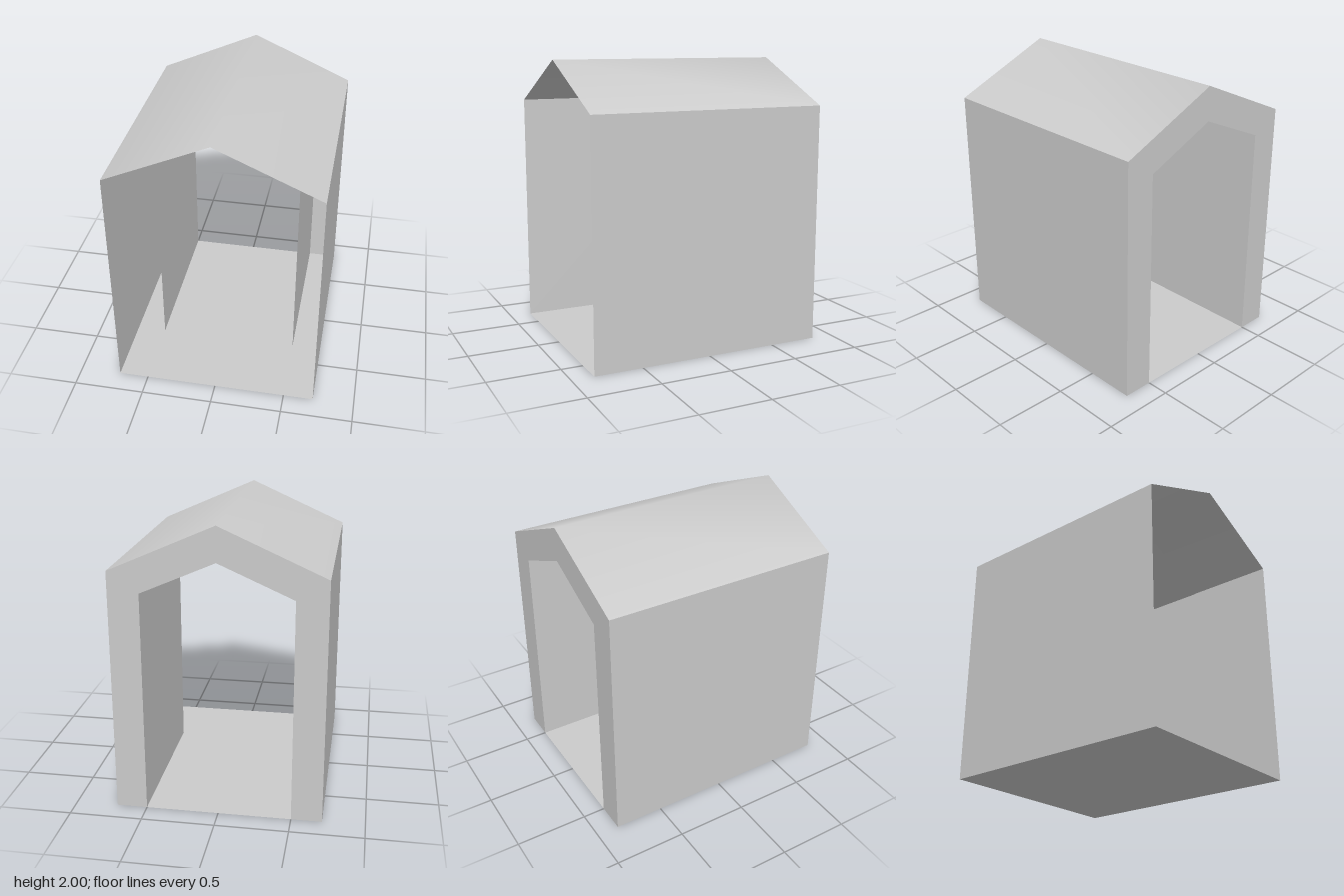
import * as THREE from 'three';

const FRONT = 0.845, BACK = -0.845, LINING_FRONT = 0.34;

// profile points [x, y]: outer shell and inner lining
const outer = [[-0.71, 0], [-0.71, 1.685], [0, 2], [0.71, 1.685], [0.71, 0]];
const inner = [[-0.5, 0], [-0.5, 1.545], [0, 1.765], [0.5, 1.545], [0.5, 0]];

const material = new THREE.MeshStandardMaterial({ color: 0xcccccc, side: THREE.DoubleSide });

function addPart(group, name, geometry) {
  const mesh = new THREE.Mesh(geometry, material);
  mesh.name = name;
  group.add(mesh);
  return mesh;
}

// thin sheet: a profile line swept from zFront to zBack, smooth along its bends
function sheet(points, zFront, zBack) {
  const positions = [], index = [];
  points.forEach(([x, y], i) => {
    positions.push(x, y, zFront, x, y, zBack);
    if (i > 0) {
      const a = 2 * (i - 1), b = 2 * i;
      index.push(a, b, b + 1, a, b + 1, a + 1);
    }
  });
  const geometry = new THREE.BufferGeometry();
  geometry.setAttribute('position', new THREE.Float32BufferAttribute(positions, 3));
  geometry.setIndex(index);
  geometry.computeVertexNormals();
  return geometry;
}

export function createModel() {
  const model = new THREE.Group();
  model.name = 'gabledShelter';

  // outer walls and the roof, softly shaded over the ridge
  addPart(model, 'rightOuterWall', sheet(outer.slice(0, 2), FRONT, BACK));
  addPart(model, 'roof', sheet(outer.slice(1, 4), FRONT, BACK));
  addPart(model, 'leftOuterWall', sheet(outer.slice(3), FRONT, BACK));

  // inner lining, set back from the open front, with sharp folds
  const lining = [...inner].reverse();
  const names = ['leftInnerWall', 'leftCeiling', 'rightCeiling', 'rightInnerWall'];
  names.forEach((name, i) => {
    addPart(model, name, sheet(lining.slice(i, i + 2), LINING_FRONT, BACK));
  });

  // arched face closing the gap between shell and lining at the back
  const arch = new THREE.Shape([...outer, ...lining].map(([x, y]) => new THREE.Vector2(x, y)));
  const backArch = addPart(model, 'backArch', new THREE.ShapeGeometry(arch));
  backArch.rotation.y = Math.PI;
  backArch.position.z = BACK;

  // floor facing down
  addPart(model, 'floor', sheet([[0.71, 0], [-0.71, 0]], FRONT, BACK));

  return model;
}
